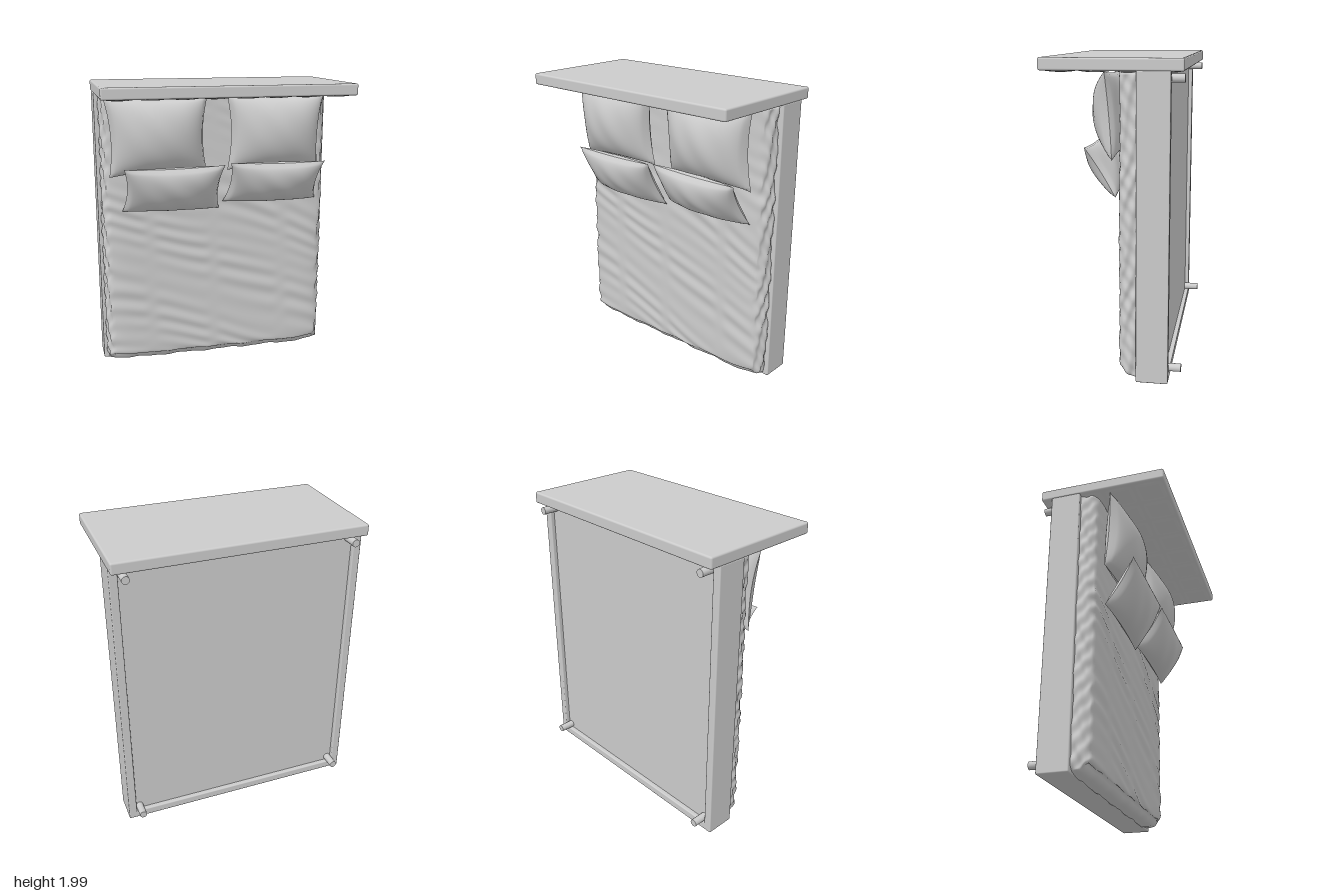
import * as THREE from 'three';
import { mergeVertices } from 'three/addons/utils/BufferGeometryUtils.js';
import { RoundedBoxGeometry } from 'three/addons/geometries/RoundedBoxGeometry.js';

const grey = new THREE.MeshStandardMaterial({ color: 0xcccccc });
const greyDouble = new THREE.MeshStandardMaterial({ color: 0xcccccc, side: THREE.DoubleSide });

function add(parent, name, geometry, x = 0, y = 0, z = 0, material = grey) {
  const mesh = new THREE.Mesh(geometry, material);
  mesh.name = name;
  mesh.position.set(x, y, z);
  parent.add(mesh);
  return mesh;
}

// Move every vertex by a rule, weld the seams and smooth the normals
function reshape(geometry, rule) {
  geometry.deleteAttribute('uv');
  geometry.deleteAttribute('normal');
  const g = mergeVertices(geometry, 1e-5);
  const p = g.attributes.position;
  const v = new THREE.Vector3();
  for (let i = 0; i < p.count; i++) {
    v.fromBufferAttribute(p, i);
    rule(v);
    p.setXYZ(i, v.x, v.y, v.z);
  }
  g.computeVertexNormals();
  return g;
}

// Cushion stretched between four corners (top left, top right, bottom left, bottom right)
function pillowGeometry(corners, front, back, pinch) {
  const [tl, tr, bl, br] = corners.map((c) => new THREE.Vector3(...c));
  const across = tr.clone().sub(tl);
  const normal = across.cross(tl.clone().sub(bl)).normalize();
  const top = new THREE.Vector3();
  const low = new THREE.Vector3();
  return reshape(new THREE.BoxGeometry(2, 2, 2, 36, 30, 1), (v) => {
    const side = v.z > 0 ? front : -back;
    const a = 1 - v.x * v.x, b = 1 - v.y * v.y;
    const puff = Math.pow(Math.max(a * b, 0), 0.5);
    const crease = 0.004 * Math.sin(9 * v.x + 4 * v.y) * a * b;
    const s = (v.x * (1 - pinch * b) + 1) / 2;
    const t = (v.y * (1 - pinch * a) + 1) / 2;
    top.lerpVectors(tl, tr, s);
    low.lerpVectors(bl, br, s);
    v.lerpVectors(low, top, t).addScaledVector(normal, side * puff + crease);
  });
}

// Soft cover: rounded front edges, slanted folds on the face, gathers at the sides
function duvetGeometry() {
  const W = 0.79, H = 0.95, D = 0.12;
  return reshape(new THREE.BoxGeometry(2, 2, 1, 80, 130, 10), (v) => {
    const d = v.z + 0.5;
    const x = v.x * W, y = v.y * H + 0.965;
    const edgeX = Math.pow(Math.abs(v.x), 14);
    const foot = Math.pow(Math.max(-v.y, 0), 24);
    const lower = THREE.MathUtils.smoothstep(1.5 - y, 0, 0.3);
    // Stitched strips interrupt the folds
    const strip = [-0.5, -0.03, 0.5].reduce(
      (k, c) => k * (1 - 0.8 * Math.exp(-Math.pow((x - c) / 0.05, 2))), 1);
    const slant = x < -0.03 ? 0.22 : 0.38;
    const phase = (y + slant * x + 0.03 * Math.sin(5 * x + 3 * y)) * 52;
    const fold = Math.sin(phase + 1.3 * Math.sin(7 * y + 2 * x))
      * (0.6 + 0.4 * Math.sin(6 * x + 11 * y));
    const gather = Math.sin(y * 24 + 9 * d + 1.5 * Math.sin(y * 9 + Math.sign(x)))
      + 0.6 * Math.sin(y * 57 - 7 * d + x * 3);
    const hem = Math.sin(x * 19) + 0.5 * Math.sin(x * 43 + 2);
    const inset = 0.035 * d * d * d + 0.018 * foot;
    v.x = x * (1 - inset / W) + Math.sign(x) * edgeX * (0.007 * gather + 0.006 * lower);
    v.y = y + foot * (0.055 * Math.pow(d, 4) + 0.02 * edgeX + 0.004 * hem);
    v.z = -0.152 + D * d
      + d * d * (0.0055 * strip * fold * (0.35 + 0.65 * lower) + 0.004 * lower
        - 0.014 * edgeX - 0.02 * foot);
  });
}

// Padded face of the headboard, divided into soft squares
function paddingGeometry(columns, rows) {
  const g = new THREE.PlaneGeometry(1.61, 0.83, columns * 10, rows * 10);
  g.rotateX(Math.PI / 2);
  return reshape(g, (v) => {
    const a = Math.abs(Math.sin((v.x / 1.61 + 0.5) * columns * Math.PI));
    const b = Math.abs(Math.sin((v.z / 0.83 + 0.5) * rows * Math.PI));
    v.y -= 0.018 * Math.pow(a * b, 0.4);
  });
}

export function createModel() {
  const bed = new THREE.Group();
  bed.name = 'bed';

  // Headboard
  const headboard = new THREE.Group();
  headboard.name = 'headboard';
  bed.add(headboard);
  add(headboard, 'headboardPanel', new RoundedBoxGeometry(1.645, 0.075, 0.85, 3, 0.012), 0, 1.9625, 0);
  add(headboard, 'headboardPadding', paddingGeometry(8, 4), 0, 1.93, 0, greyDouble);

  // Base frame: side rails, foot rail, recessed panel and legs
  const frame = new THREE.Group();
  frame.name = 'frame';
  bed.add(frame);
  for (const s of [-1, 1]) {
    add(frame, 'sideRail', new RoundedBoxGeometry(0.055, 1.915, 0.2, 2, 0.008), s * 0.7945, 0.9725, -0.25);
    for (const y of [0.095, 1.885]) {
      const leg = add(frame, 'leg', new THREE.CylinderGeometry(0.025, 0.025, 0.11, 24), s * 0.74, y, -0.37);
      leg.rotation.x = Math.PI / 2;
    }
  }
  add(frame, 'footRail', new RoundedBoxGeometry(1.64, 0.055, 0.2, 2, 0.008), 0, 0.0425, -0.25);
  add(frame, 'basePanel', new THREE.BoxGeometry(1.56, 1.87, 0.16), 0, 0.985, -0.24);

  // Bedding
  add(bed, 'duvet', duvetGeometry());
  const large = [
    [[-0.78, 1.92, 0.05], [-0.085, 1.92, 0.05], [-0.75, 1.38, 0.01], [-0.085, 1.40, 0.01]],
    [[0.045, 1.92, 0.05], [0.74, 1.92, 0.05], [0.06, 1.40, 0.01], [0.725, 1.39, 0.01]],
  ];
  const small = [
    [[-0.67, 1.46, 0.18], [0.005, 1.465, 0.18], [-0.67, 1.14, -0.01], [0.005, 1.13, -0.01]],
    [[0.045, 1.475, 0.18], [0.71, 1.465, 0.18], [0.03, 1.175, -0.01], [0.715, 1.165, -0.01]],
  ];
  for (const c of large) add(bed, 'largePillow', pillowGeometry(c, 0.15, 0.07, 0.09));
  for (const c of small) add(bed, 'smallPillow', pillowGeometry(c, 0.1, 0.08, 0.08));
  return bed;
}
